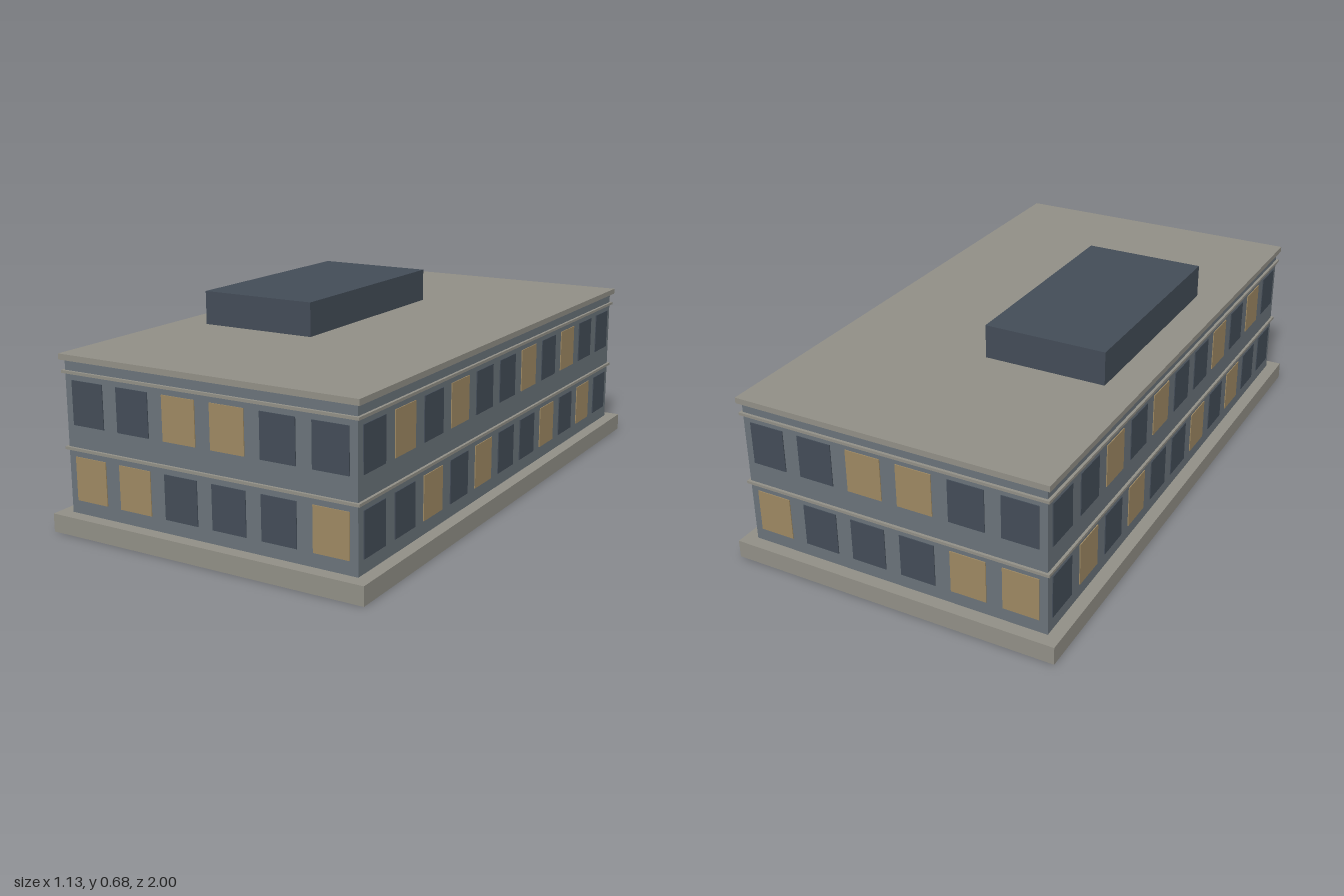
import * as THREE from 'three';

const material = (name, color) => {
  const m = new THREE.MeshStandardMaterial({ color });
  m.name = name;
  return m;
};

export function createModel() {
  const wall = material('blue grey wall', 0x6a737a);
  const stone = material('warm grey stone', 0x918f86);
  const dark = material('dark slate', 0x434c57);
  const lit = material('lit amber', 0x9d8862);

  const model = new THREE.Group();
  model.name = 'officeBuilding';

  // box resting on y0, given its half extents in x and z
  function slab(name, mat, hx, hz, y0, y1, x = 0, z = 0) {
    const mesh = new THREE.Mesh(new THREE.BoxGeometry(hx * 2, y1 - y0, hz * 2), mat);
    mesh.position.set(x, (y0 + y1) / 2, z);
    mesh.name = name;
    model.add(mesh);
  }

  const HX = 0.521, HZ = 0.957;
  slab('plinth', stone, 0.564, 1, 0, 0.06);
  slab('walls', wall, HX, HZ, 0.06, 0.552);
  slab('floorBand', stone, 0.53, 0.966, 0.267, 0.276);
  slab('upperBand', stone, 0.53, 0.966, 0.51, 0.519);
  slab('roofSlab', stone, 0.534, 0.97, 0.552, 0.571);
  slab('rooftopUnit', dark, 0.209, 0.384, 0.571, 0.684, -0.209, 0);

  // windows: thin plates on all four walls, some of them lit
  const W = 0.12, H = 0.142, T = 0.006, STEP = 0.174;
  const floors = [
    { y: 0.175, ends: [0, 1, 5], sides: [2, 4, 7, 9] },
    { y: 0.419, ends: [2, 3], sides: [1, 3, 6, 8] },
  ];
  const windows = new THREE.Group();
  windows.name = 'windows';
  model.add(windows);
  const endPane = new THREE.BoxGeometry(W, H, T);
  const sidePane = new THREE.BoxGeometry(T, H, W);

  function pane(name, geometry, isLit, x, y, z) {
    const mesh = new THREE.Mesh(geometry, isLit ? lit : dark);
    mesh.position.set(x, y, z);
    mesh.name = name;
    windows.add(mesh);
  }

  for (const { y, ends, sides } of floors) {
    for (const s of [1, -1]) {
      for (let i = 0; i < 6; i++) {
        pane(s > 0 ? 'frontWindow' : 'backWindow', endPane, ends.includes(i), (i - 2.5) * STEP, y, s * HZ);
      }
      for (let i = 0; i < 11; i++) {
        pane(s > 0 ? 'leftWindow' : 'rightWindow', sidePane, sides.includes(i), s * HX, y, (5 - i) * STEP);
      }
    }
  }
  return model;
}
